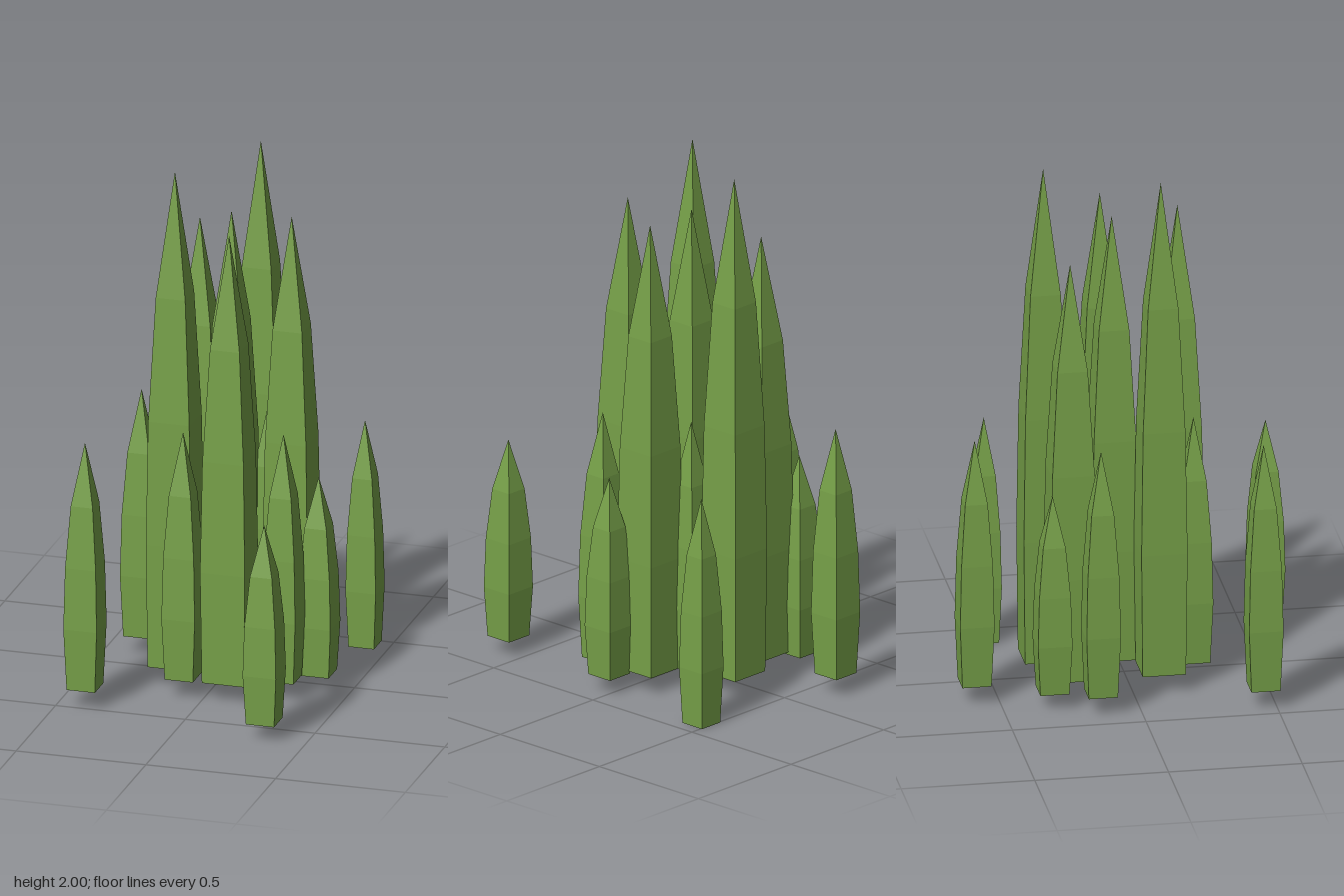
import * as THREE from 'three';

const foliage = new THREE.MeshStandardMaterial({ color: 0x76a048, flatShading: true });

// Square blade: four evenly spaced tiers bulging slightly, then tapering to a point
function makeTree(name, x, z, base, top, half, footRatio) {
  const widths = [footRatio, 1, 0.92, 0.66, 0];
  const points = [new THREE.Vector2(0, 0)];
  widths.forEach((w, i) => {
    points.push(new THREE.Vector2(w * half * Math.SQRT2, (top - base) * i / 4));
  });
  const geometry = new THREE.LatheGeometry(points, 4);
  geometry.rotateY(Math.PI / 4);
  const tree = new THREE.Mesh(geometry, foliage);
  tree.name = name;
  tree.position.set(x, base, z);
  return tree;
}

export function createModel() {
  const group = new THREE.Group();
  group.name = 'treeCluster';

  // Tall trees in the middle: x, z, base, top
  const tall = [
    [0.05, -0.293, 0.065, 2.0],
    [-0.165, -0.228, 0.07, 1.7],
    [0.013, -0.043, 0.07, 1.81],
    [0.243, -0.049, 0.07, 1.81],
    [-0.158, 0.112, 0.07, 2.0],
    [0.082, 0.214, 0.07, 1.81],
  ];
  tall.forEach(([x, z, base, top], i) => {
    group.add(makeTree('tallTree' + (i + 1), x, z, base, top, 0.086, 0.94));
  });

  // Short trees scattered around: x, z, base, top, half width
  const short = [
    [-0.182, -0.588, 0.07, 1.03, 0.064],
    [0.402, -0.456, 0, 0.88, 0.058],
    [-0.28, -0.313, 0.06, 0.83, 0.064],
    [-0.365, -0.146, 0.07, 1.03, 0.064],
    [0.125, -0.146, 0.07, 1.03, 0.064],
    [0.373, 0.036, 0.06, 0.83, 0.064],
    [0.275, 0.16, 0.07, 1.03, 0.064],
    [-0.086, 0.246, 0.07, 1.03, 0.064],
    [-0.4, 0.456, 0.07, 1.03, 0.064],
    [0.33, 0.585, 0.06, 0.83, 0.064],
  ];
  short.forEach(([x, z, base, top, half], i) => {
    group.add(makeTree('shortTree' + (i + 1), x, z, base, top, half, 0.85));
  });

  return group;
}
